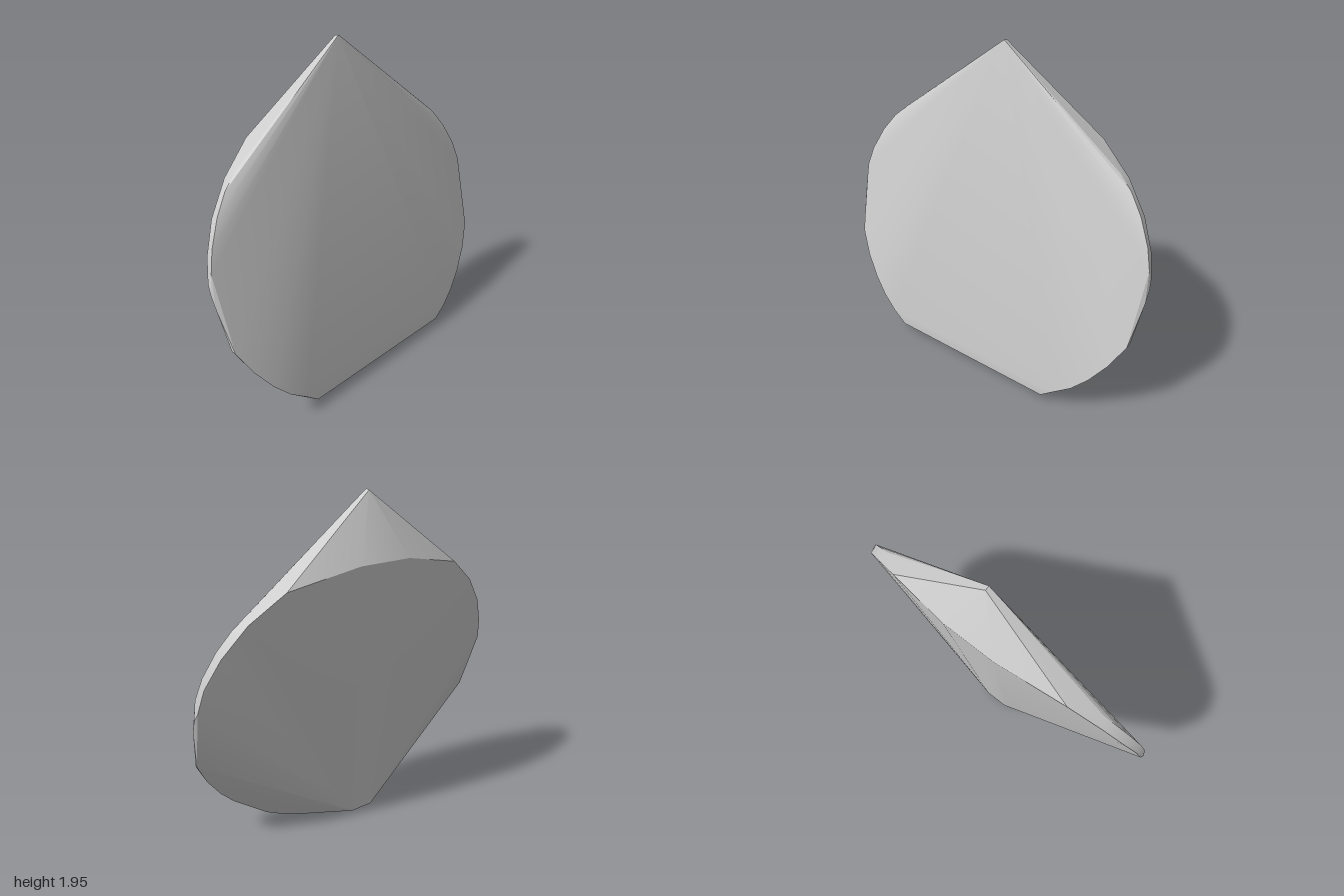
import * as THREE from 'three';
import { ConvexGeometry } from 'three/addons/geometries/ConvexGeometry.js';
import { toCreasedNormals } from 'three/addons/utils/BufferGeometryUtils.js';

// Right-hand halves of the outlines, [x, y, z]; each is mirrored across x = 0.
const apex = [[0, 1.955, -0.09], [0, 1.95, -0.115]];
const backRim = [
  [0.16, 1.6, -0.262], [0.56, 1.515, -0.195], [0.75, 1.37, -0.14],
  [0.88, 1.21, -0.09], [0.96, 1.05, -0.04], [0.99, 0.92, -0.01],
];
const frontRim = [
  [0.72, 1.41, -0.09], [0.8, 1.34, -0.07], [0.88, 1.235, -0.04],
  [0.95, 1.1, -0.005], [0.985, 0.985, 0.02], [1, 0.87, 0.02],
  [0.998, 0.8, 0.05], [0.97, 0.56, 0.11], [0.965, 0.55, 0.135],
  [0.89, 0.41, 0.18], [0.8, 0.285, 0.215], [0.71, 0.19, 0.24],
];
const base = [
  [0.61, 0.12, 0.262], [0.53, 0.05, 0.262], [0.5, 0.035, 0.235],
  [0.42, 0.015, 0.19], [0.31, 0.004, 0.13],
];
const backFoot = [[0.07, 0.03, -0.058]];

export function createModel() {
  const points = [];
  for (const [x, y, z] of [...apex, ...backRim, ...frontRim, ...base, ...backFoot]) {
    points.push(new THREE.Vector3(x, y, z));
    if (x > 0) points.push(new THREE.Vector3(-x, y, z));
  }

  // Faceted solid, softened only along the narrow rim facets
  const geometry = toCreasedNormals(new ConvexGeometry(points), 0.35);
  const stone = new THREE.Mesh(geometry, new THREE.MeshStandardMaterial({ color: 0xcccccc }));
  stone.name = 'pointedStone';

  // Rest the solid exactly on the ground
  geometry.computeBoundingBox();
  stone.position.y = -geometry.boundingBox.min.y;

  const model = new THREE.Group();
  model.name = 'facetedStone';
  model.add(stone);
  return model;
}
